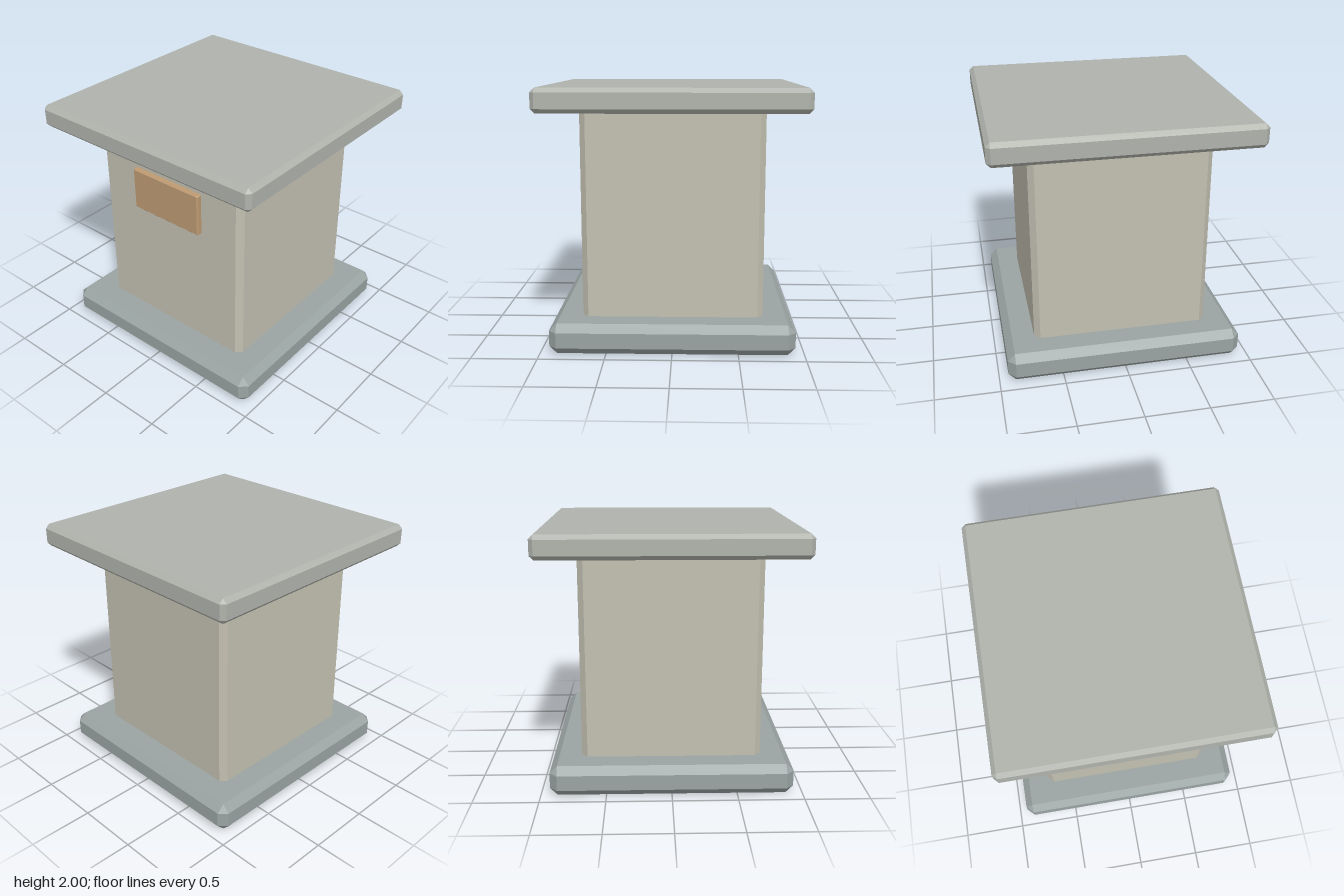
import * as THREE from 'three';
import { ConvexGeometry } from 'three/addons/geometries/ConvexGeometry.js';

// Box with every edge cut at 45 degrees, spanning min to max
function chamferBox(name, min, max, c, color) {
  const lo = new THREE.Vector3(...min), hi = new THREE.Vector3(...max);
  const half = hi.clone().sub(lo).multiplyScalar(0.5);
  const points = [];
  for (const sx of [-1, 1]) for (const sy of [-1, 1]) for (const sz of [-1, 1]) {
    for (const axis of [0, 1, 2]) {
      // each corner becomes three points, one on each adjoining face
      const inset = [c, c, c];
      inset[axis] = 0;
      points.push(new THREE.Vector3(
        sx * (half.x - inset[0]), sy * (half.y - inset[1]), sz * (half.z - inset[2])));
    }
  }
  const material = new THREE.MeshStandardMaterial({ color, flatShading: true });
  const mesh = new THREE.Mesh(new ConvexGeometry(points), material);
  mesh.position.copy(lo).add(hi).multiplyScalar(0.5);
  mesh.name = name;
  return mesh;
}

export function createModel() {
  const model = new THREE.Group();
  model.name = 'pedestal';
  model.add(
    // wide foot slab with deep chamfers
    chamferBox('base', [-0.93, 0, -0.93], [0.93, 0.235, 0.93], 0.058, 0x9aa4a3),
    // square shaft, its ends sunk into the slabs
    chamferBox('shaft', [-0.697, 0.18, -0.697], [0.697, 1.87, 0.697], 0.045, 0xc3c0b1),
    // overhanging top slab
    chamferBox('cap', [-1, 1.818, -1], [1, 2, 1], 0.033, 0xb0b3ac),
    // plate on the front face
    chamferBox('plaque', [-0.326, 1.225, 0.66], [0.326, 1.573, 0.737], 0.011, 0xbd9a72),
  );
  return model;
}
